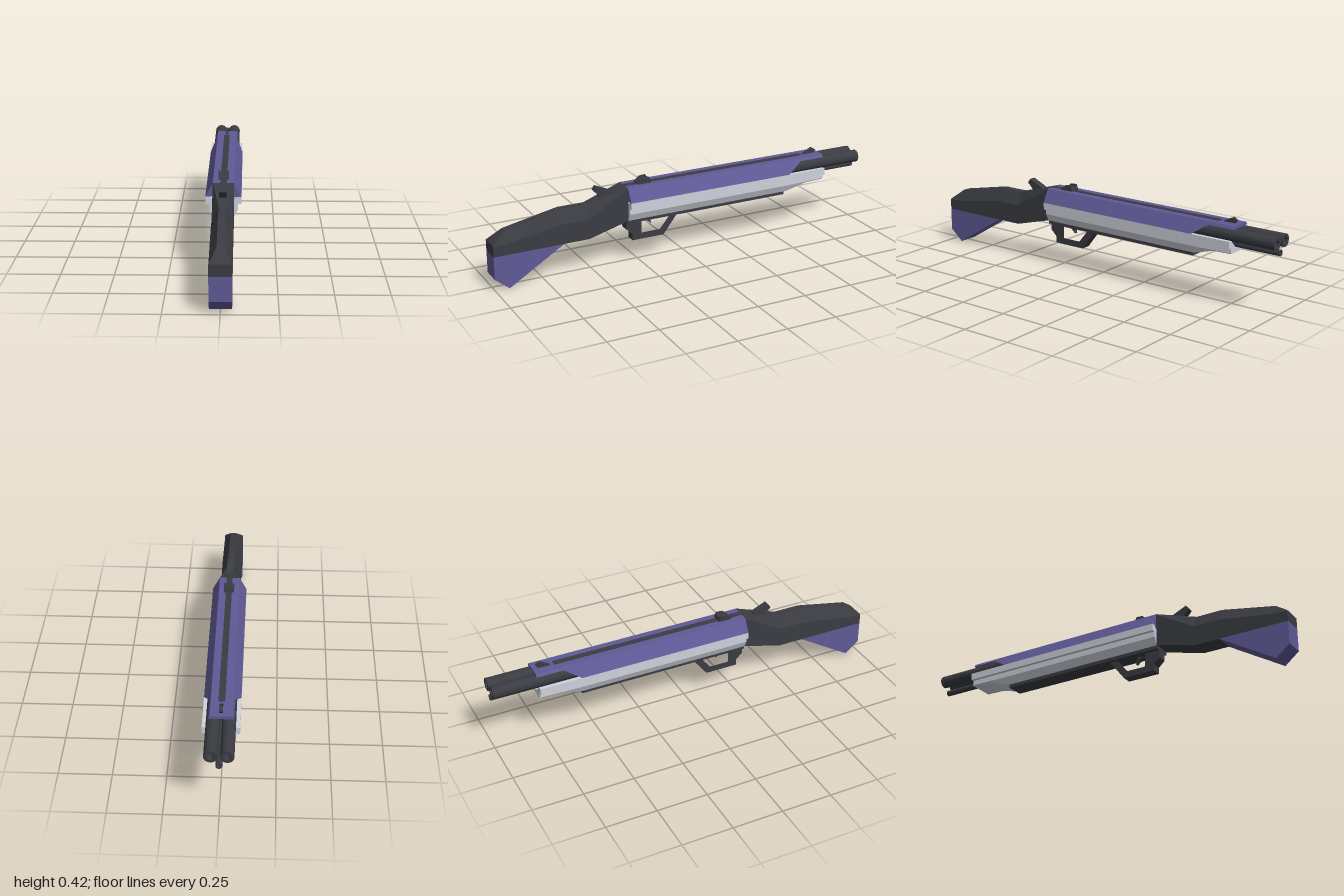
import * as THREE from 'three';
import { toCreasedNormals } from 'three/addons/utils/BufferGeometryUtils.js';

const dark = new THREE.MeshStandardMaterial({ color: 0x3a3c42, flatShading: true });
const purple = new THREE.MeshStandardMaterial({ color: 0x5f5a96, flatShading: true });
const pale = new THREE.MeshStandardMaterial({ color: 0xcfd2dc, flatShading: true });
const steel = new THREE.MeshStandardMaterial({ color: 0x3a3c42 });

// Side outline of [z, y] points, extruded across x and centred on x = 0
function plate(outline, width, hole) {
  const toVec = p => new THREE.Vector2(p[0], p[1]);
  const shape = new THREE.Shape(outline.map(toVec));
  if (hole) shape.holes.push(new THREE.Path(hole.map(toVec)));
  const geo = new THREE.ExtrudeGeometry(shape, { depth: width, bevelEnabled: false });
  return geo.rotateY(-Math.PI / 2).translate(width / 2, 0, 0);
}

// Mirrored cross-sections joined from +z to -z; each is { z, half: [[x, y], ...] } from bottom to top
function loft(sections) {
  const rings = sections.map(({ z, half }) =>
    [...half, ...half.slice().reverse().map(([x, y]) => [-x, y])].map(([x, y]) => new THREE.Vector3(x, y, z)));
  const n = rings[0].length;
  const pts = [];
  for (let s = 0; s < rings.length - 1; s++) {
    const a = rings[s], b = rings[s + 1];
    for (let i = 0; i < n; i++) {
      const j = (i + 1) % n;
      pts.push(a[i], b[i], b[j], a[i], b[j], a[j]);
    }
  }
  const cap = (ring, flip) => {
    const flat = ring.map(p => new THREE.Vector2(p.x, p.y));
    for (const [i, j, k] of THREE.ShapeUtils.triangulateShape(flat, [])) {
      pts.push(ring[i], ring[flip ? k : j], ring[flip ? j : k]);
    }
  };
  cap(rings[0], false);
  cap(rings[rings.length - 1], true);
  const geo = new THREE.BufferGeometry().setFromPoints(pts);
  geo.computeVertexNormals();
  return geo;
}

// Hollow tube pointing to -z
function tube(radius, bore, zBack, zFront) {
  const l = zBack - zFront;
  const profile = [[radius, 0], [radius, l], [bore, l], [bore, l - 0.08], [0, l - 0.08]];
  const geo = new THREE.LatheGeometry(profile.map(p => new THREE.Vector2(p[0], p[1])), 20);
  return toCreasedNormals(geo.rotateX(-Math.PI / 2).translate(0, 0, zBack), 0.6);
}

export function createModel() {
  const model = new THREE.Group();
  const add = (name, geo, mat, x = 0, y = 0, z = 0) => {
    const mesh = new THREE.Mesh(geo, mat);
    mesh.name = name;
    mesh.position.set(x, y, z);
    model.add(mesh);
  };
  const box = (w, h, d) => new THREE.BoxGeometry(w, h, d);

  // Stock: dark chamfered upper part and coloured lower part
  const stock = (z, bottom, shoulder, top, topHalf) =>
    ({ z, half: [[0.05, bottom], [0.05, shoulder], [topHalf, top]] });
  add('stock', loft([
    stock(1, 0.17, 0.222, 0.225, 0.048),
    stock(0.93, 0.17, 0.225, 0.28, 0.017),
    stock(0.655, 0.17, 0.27, 0.335, 0.017),
    stock(0.52, 0.17, 0.27, 0.335, 0.017),
    stock(0.315, 0.225, 0.388, 0.392, 0.048),
  ]), dark);
  add('stockHeel', plate([[1, 0.17], [0.65, 0.17], [0.93, 0], [1, 0.057]], 0.1), purple);

  // Upper cover, cut away above the barrels at the muzzle end
  const cover = (z, x, y) => ({ z, half: [[x, y], [0.05, 0.391]] });
  add('upperCover', loft([
    cover(0.315, 0.085, 0.325), cover(-0.57, 0.085, 0.325),
    cover(-0.65, 0.058, 0.376), cover(-0.785, 0.058, 0.376),
  ]), purple);

  // Lower body with stepped sides and a channel for the barrels
  const body = (z, bottomHalf, bottom, corner) => ({
    z, half: [[bottomHalf, bottom], [0.068, corner], [0.068, 0.29], [0.085, 0.29],
      [0.085, 0.325], [0.066, 0.325], [0.05, 0.308], [0.02, 0.28]],
  });
  add('lowerBody', loft([
    body(0.315, 0.05, 0.225, 0.262), body(-0.57, 0.05, 0.225, 0.262),
    body(-0.68, 0.064, 0.259, 0.264), body(-0.78, 0.064, 0.262, 0.266),
  ]), pale);
  add('undersideRail', box(0.09, 0.02, 0.875), dark, 0, 0.218, -0.1225);

  // Twin barrels and the thin tube beneath
  for (const side of [1, -1]) {
    add(side > 0 ? 'leftBarrel' : 'rightBarrel', tube(0.031, 0.017, -0.4, -1), steel, side * 0.036, 0.345, 0);
  }
  add('lowerTube', tube(0.015, 0.008, -0.4, -1), steel, 0, 0.294, 0);

  // Trigger guard and trigger
  add('triggerGuard', plate(
    [[0.315, 0.225], [0.315, 0.17], [0.283, 0.14], [0.283, 0.108], [0.115, 0.108], [0.035, 0.212], [0.035, 0.225]],
    0.05,
    [[0.235, 0.208], [0.235, 0.14], [0.135, 0.14], [0.08, 0.208]]), dark);
  add('trigger', plate([[0.225, 0.215], [0.175, 0.172], [0.185, 0.215]], 0.018), dark);

  // Hammer
  add('hammer', plate([[0.476, 0.392], [0.462, 0.412], [0.385, 0.378], [0.375, 0.345], [0.435, 0.335], [0.45, 0.365]], 0.034), dark);

  // Sighting rib and sights
  add('topRib', box(0.03, 0.01, 0.995), dark, 0, 0.388, -0.1825);
  add('rearSightBase', plate([[0.25, 0.388], [0.25, 0.396], [0.235, 0.408], [0.185, 0.411], [0.18, 0.388]], 0.05), dark);
  for (const side of [1, -1]) {
    add(side > 0 ? 'leftSightPost' : 'rightSightPost',
      plate([[0.235, 0.405], [0.225, 0.417], [0.19, 0.42], [0.185, 0.405]], 0.009), dark, side * 0.0205, 0, 0);
  }
  add('frontSight', plate([[-0.69, 0.388], [-0.748, 0.418], [-0.768, 0.406], [-0.758, 0.388]], 0.016), dark);

  return model;
}
